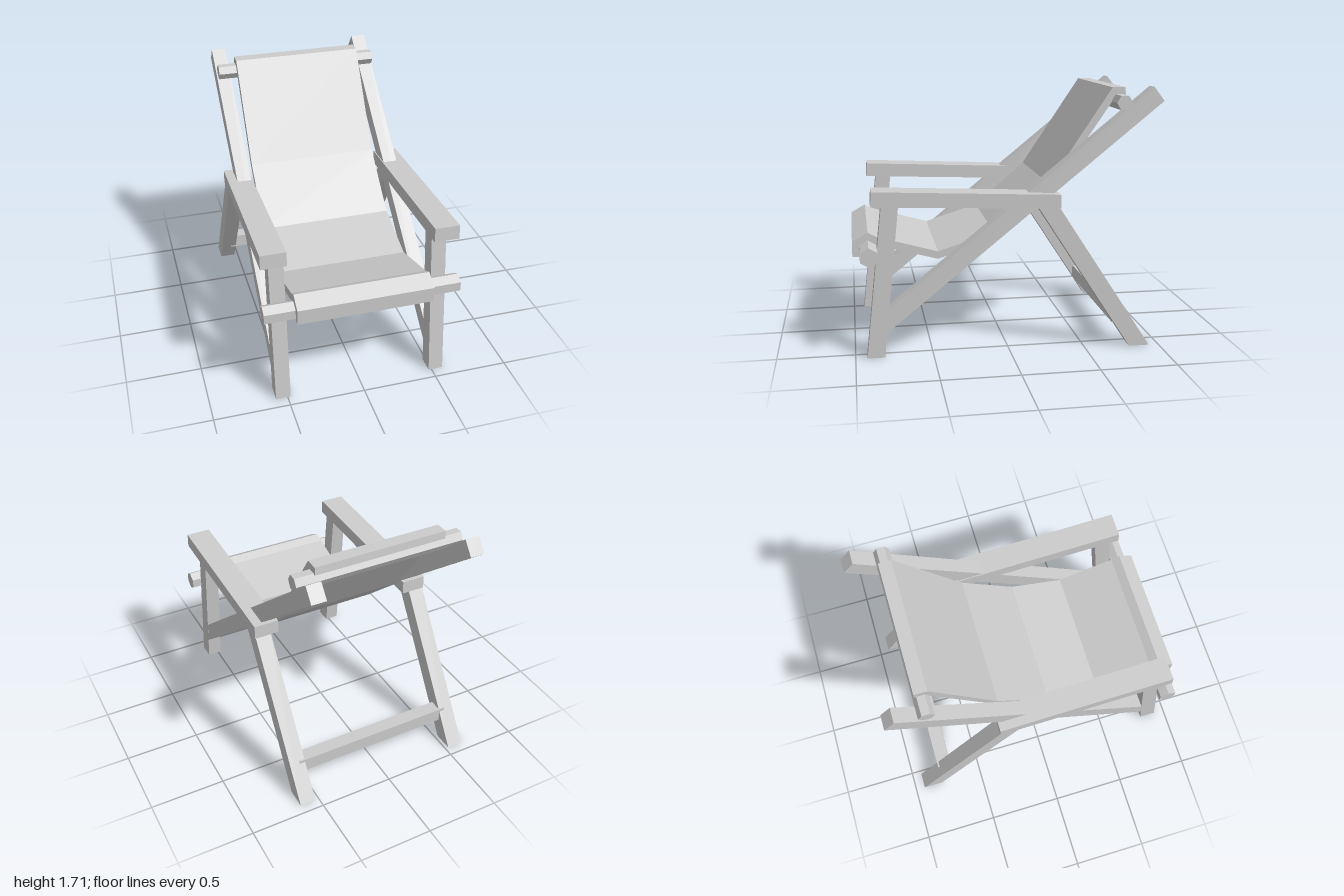
import * as THREE from 'three';

// Reclining deck chair: timber frame with a sling seat
export function createModel() {
  const chair = new THREE.Group();
  chair.name = 'deckChair';
  const grey = new THREE.MeshStandardMaterial({ color: 0xcccccc, flatShading: true });
  grey.name = 'plainGrey';

  const add = (name, geometry) => {
    const mesh = new THREE.Mesh(geometry, grey);
    mesh.name = name;
    chair.add(mesh);
    return mesh;
  };

  // Extrudes a side profile of [z, y] points across x from x0 to x1
  const slab = (name, points, x0, x1) => {
    const shape = new THREE.Shape(points.map(([z, y]) => new THREE.Vector2(z, y)));
    const geometry = new THREE.ExtrudeGeometry(shape, { depth: x1 - x0, bevelEnabled: false });
    geometry.rotateY(-Math.PI / 2).translate(x1, 0, 0);
    return add(name, geometry);
  };

  // Same profile on both sides
  const pair = (name, points, inner, outer) => {
    slab(name + 'Left', points, inner, outer);
    slab(name + 'Right', points, -outer, -inner);
  };

  // Timber frame
  pair('frontLeg', [[0.925, 0], [0.813, 0], [0.703, 1.04], [0.81, 1.04]], 0.48, 0.578);
  pair('backLeg', [[-0.80, 0], [-0.935, 0], [-0.285, 1], [-0.151, 1]], 0.525, 0.632);
  pair('backRail', [[-0.93, 1.71], [-1, 1.62], [0.84, 0.128], [0.83, 0.28]], 0.48, 0.577);
  pair('armrest', [[0.876, 1.097], [0.882, 1.002], [-0.32, 0.953], [-0.318, 1.043]], 0.473, 0.638);

  // Stretcher between the back legs
  const stretcher = add('backStretcher', new THREE.BoxGeometry(1.13, 0.093, 0.093));
  stretcher.position.set(0, 0.192, -0.745);

  // Six-sided rods carrying the sling
  const rod = (name, radius, length, y, z, turn) => {
    const geometry = new THREE.CylinderGeometry(radius, radius, length, 6);
    geometry.rotateY(turn).rotateZ(Math.PI / 2);
    add(name, geometry).position.set(0, y, z);
  };
  rod('topRod', 0.052, 1.136, 1.61, -0.742, 0);
  rod('frontRod', 0.063, 1.284, 0.683, 0.90, Math.PI / 6);

  // Sling: upper surface from front to top, then back along the underside
  slab('slingSeat', [
    [0.955, 0.64], [1, 0.64], [1, 0.742], [0.90, 0.797], [0.842, 0.767], [0.45, 0.655],
    [0.08, 0.77], [-0.28, 1.08], [-0.695, 1.70], [-0.78, 1.70], [-0.785, 1.65], [-0.722, 1.65],
    [-0.315, 1.055], [0.07, 0.72], [0.45, 0.605], [0.85, 0.713], [0.90, 0.743], [0.955, 0.713],
  ], -0.443, 0.443);

  return chair;
}
